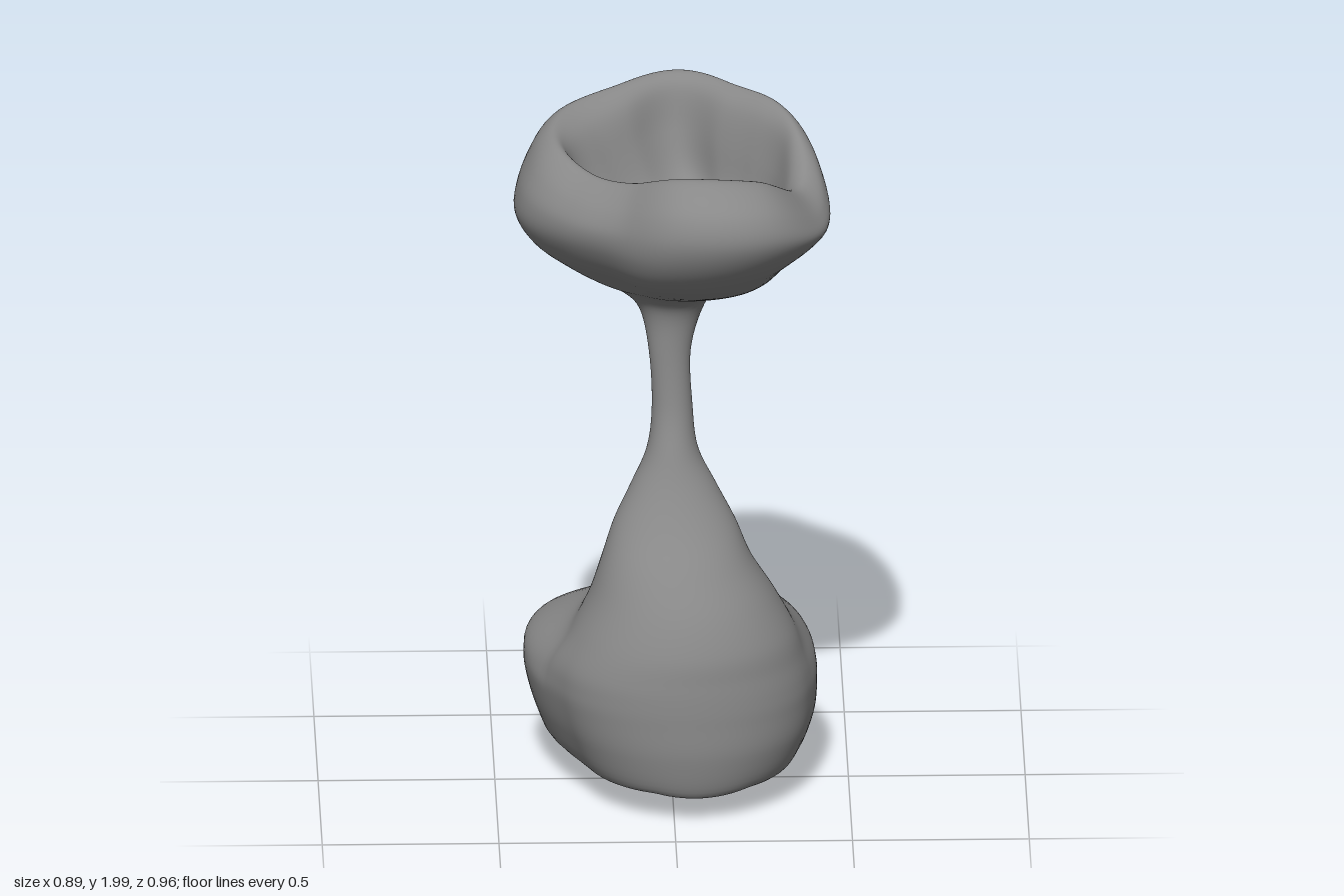
import * as THREE from 'three';

const SEGMENTS = 96, STEPS = 6;

// Outline radii every 30 degrees, from +x round through +z
const BOWL = [0.4, 0.46, 0.495, 0.45, 0.35, 0.36, 0.43, 0.46, 0.435, 0.46, 0.385, 0.375];
const HOLLOW = [0.29, 0.31, 0.29, 0.28, 0.25, 0.235, 0.28, 0.25, 0.25, 0.3, 0.235, 0.24];
// Height of the wavy rim above its mean level, same angles
const RIM = [0.025, -0.07, 0.01, 0.025, -0.03, -0.04, 0.0, 0.03, 0.055, 0.078, 0.07, 0.065];

// Sections: height, x min, x max, z min, z max
const FOOT = [
  [0, 0.05, 0.05, -0.12, -0.12],
  [0, -0.1, 0.17, -0.27, 0.12],
  [0.02, -0.18, 0.25, -0.31, 0.26],
  [0.05, -0.225, 0.3, -0.28, 0.33],
  [0.1, -0.25, 0.335, -0.23, 0.367],
  [0.2, -0.3, 0.38, -0.225, 0.39],
  [0.3, -0.33, 0.39, -0.225, 0.39],
  [0.36, -0.335, 0.385, -0.22, 0.387],
  [0.42, -0.325, 0.37, -0.21, 0.38],
  [0.5, -0.285, 0.345, -0.195, 0.365],
  [0.6, -0.235, 0.29, -0.165, 0.32],
  [0.7, -0.2, 0.225, -0.125, 0.25],
];
const STEM = [
  [0.8, -0.165, 0.18, -0.1, 0.165],
  [0.9, -0.115, 0.125, -0.095, 0.1],
  [1.0, -0.07, 0.075, -0.095, 0.055],
  [1.12, -0.055, 0.06, -0.1, 0.015],
  [1.28, -0.063, 0.055, -0.105, -0.005],
  [1.4, -0.09, 0.09, -0.17, -0.003],
  [1.46, -0.15, 0.135, -0.21, 0.04],
];
const CUP_OUTSIDE = [
  [1.5, -0.23, 0.24, -0.26, 0.13],
  [1.55, -0.31, 0.29, -0.34, 0.24],
  [1.62, -0.395, 0.335, -0.42, 0.36],
  [1.7, -0.442, 0.41, -0.455, 0.44],
  [1.78, -0.435, 0.445, -0.458, 0.478],
  [1.85, -0.405, 0.43, -0.455, 0.458],
  [1.9, -0.37, 0.4, -0.43, 0.395],
];
const CUP_INSIDE = [
  [1.92, -0.33, 0.365, -0.39, 0.335],
  [1.89, -0.295, 0.335, -0.35, 0.29],
  [1.8, -0.25, 0.305, -0.315, 0.26],
  [1.71, -0.17, 0.275, -0.255, 0.235],
  [1.67, -0.08, 0.21, -0.14, 0.19],
  [1.66, 0.08, 0.08, 0.06, 0.06],
];

const smooth = THREE.MathUtils.smoothstep;
const lerp = THREE.MathUtils.lerp;

function cubic(a, b, c, d, t) {
  const u = (c - a) / 2, v = (d - b) / 2;
  return b + t * (u + t * (3 * (c - b) - 2 * u - v + t * (2 * (b - c) + u + v)));
}

// Value of a closed list of twelve at step i of the circle
function around(list, i) {
  const s = (i / SEGMENTS) * 12, k = Math.floor(s);
  const at = (n) => list[(n + 12) % 12];
  return cubic(at(k - 1), at(k), at(k + 1), at(k + 2), s - k);
}

function direction(i) {
  const a = (i / SEGMENTS) * Math.PI * 2;
  return new THREE.Vector2(Math.cos(a), Math.sin(a));
}

// Closed outline scaled to fill the square from -1 to 1
function outline(radii) {
  const pts = Array.from({ length: SEGMENTS }, (_, i) =>
    direction(i).multiplyScalar(around(radii, i)));
  const box = new THREE.Box2().setFromPoints(pts);
  const mid = box.getCenter(new THREE.Vector2());
  const half = box.getSize(new THREE.Vector2()).multiplyScalar(0.5);
  return pts.map((p) => p.sub(mid).divide(half));
}

// Smoothly interpolated sections
function refine(rows) {
  const at = (n) => rows[THREE.MathUtils.clamp(n, 0, rows.length - 1)];
  const out = [];
  for (let r = 0; r < rows.length - 1; r++) {
    for (let s = 0; s < STEPS; s++) {
      out.push(rows[r].map((_, c) =>
        cubic(at(r - 1)[c], at(r)[c], at(r + 1)[c], at(r + 2)[c], s / STEPS)));
    }
  }
  out.push(at(rows.length));
  return out;
}

// Sloping underside, lowest below the rear lobe
function underside(x, z) {
  return Math.min(0.004 + 0.075 * smooth(z, -0.25, 0.2) + 0.9 * (x - 0.08) ** 2, 0.095);
}

// Outward swelling of the rear lobe, reaching higher at its two corners
function lobe(h, dir, i) {
  const degrees = (i / SEGMENTS) * 360;
  const off = (degrees < 75 ? degrees + 360 : degrees) - 255;
  const angle = Math.min(1, off < 0 ? -off / 98 : off / 118);
  const top = 1 - smooth(h - 0.2 * Math.abs(dir.x * dir.y), 0.3, 0.5);
  return 0.262 * Math.cos((angle * Math.PI) / 2) ** 2 * top * smooth(h, 0, 0.15);
}

function loft() {
  const bowl = outline(BOWL), hollow = outline(HOLLOW);
  const outside = [...FOOT, ...STEM, ...CUP_OUTSIDE];
  const rows = refine([...outside, ...CUP_INSIDE]);
  const position = [], index = [];
  rows.forEach(([h, x0, x1, z0, z1], r) => {
    const cup = smooth(h, 1.38, 1.56);
    const inside = smooth(r / STEPS - outside.length, 0, 2);
    for (let i = 0; i < SEGMENTS; i++) {
      const dir = direction(i);
      const p = dir.clone().lerp(bowl[i], cup).lerp(hollow[i], inside);
      const push = lobe(h, dir, i);
      const x = (x0 + x1) / 2 + (p.x * (x1 - x0)) / 2 + dir.x * push;
      const z = (z0 + z1) / 2 + (p.y * (z1 - z0)) / 2 + dir.y * push;
      let y = lerp(underside(x, z), h, smooth(h, 0, 0.2));
      y += around(RIM, i) * smooth(h, 1.66, 1.92);
      position.push(x, y, z);
      if (r < rows.length - 1) {
        const a = r * SEGMENTS + i, b = r * SEGMENTS + ((i + 1) % SEGMENTS);
        index.push(a, a + SEGMENTS, b, b, a + SEGMENTS, b + SEGMENTS);
      }
    }
  });
  const geometry = new THREE.BufferGeometry();
  geometry.setAttribute('position', new THREE.Float32BufferAttribute(position, 3));
  geometry.setIndex(index);
  geometry.computeVertexNormals();
  return geometry;
}

export function createModel() {
  const group = new THREE.Group();
  group.name = 'pedestalBowl';
  // One continuous skin: lobed foot, thin stem, hollow cup
  const body = new THREE.Mesh(loft(), new THREE.MeshStandardMaterial({ color: 0x888888 }));
  body.name = 'footStemAndCup';
  group.add(body);
  return group;
}
